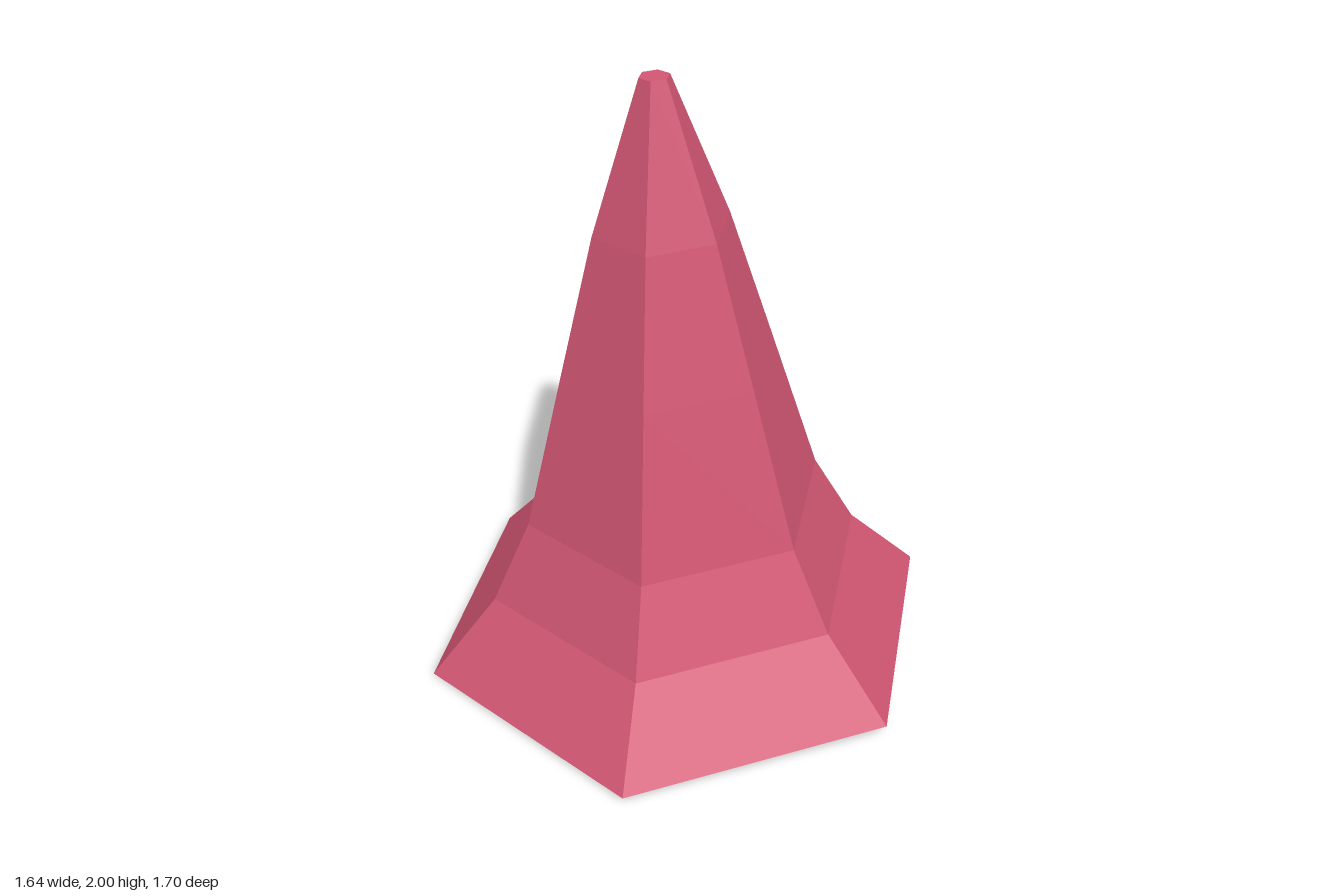
import * as THREE from 'three';

export function createModel() {
  const model = new THREE.Group();
  const rose = new THREE.MeshStandardMaterial({ color: 0xd15673, flatShading: true });
  rose.name = 'rose';

  // Flared spire profile: radius, height along the axis
  const profile = [
    [0, 0], [0.866, 0], [0.633, 0.25], [0.496, 0.517],
    [0.347, 1.04], [0.216, 1.495], [0.047, 1.96], [0, 1.96],
  ].map(([r, h]) => new THREE.Vector2(r, h));

  // Six-sided closed spire, turned about its axis
  const geometry = new THREE.LatheGeometry(profile, 6, 0.197);
  const spire = new THREE.Mesh(geometry, rose);
  spire.name = 'spire';

  // Slight lean, resting on one base corner
  const axis = new THREE.Vector3(-0.0272, 1, 0.0349).normalize();
  spire.quaternion.setFromUnitVectors(new THREE.Vector3(0, 1, 0), axis);
  spire.position.y = 0.039;
  model.add(spire);
  return model;
}
